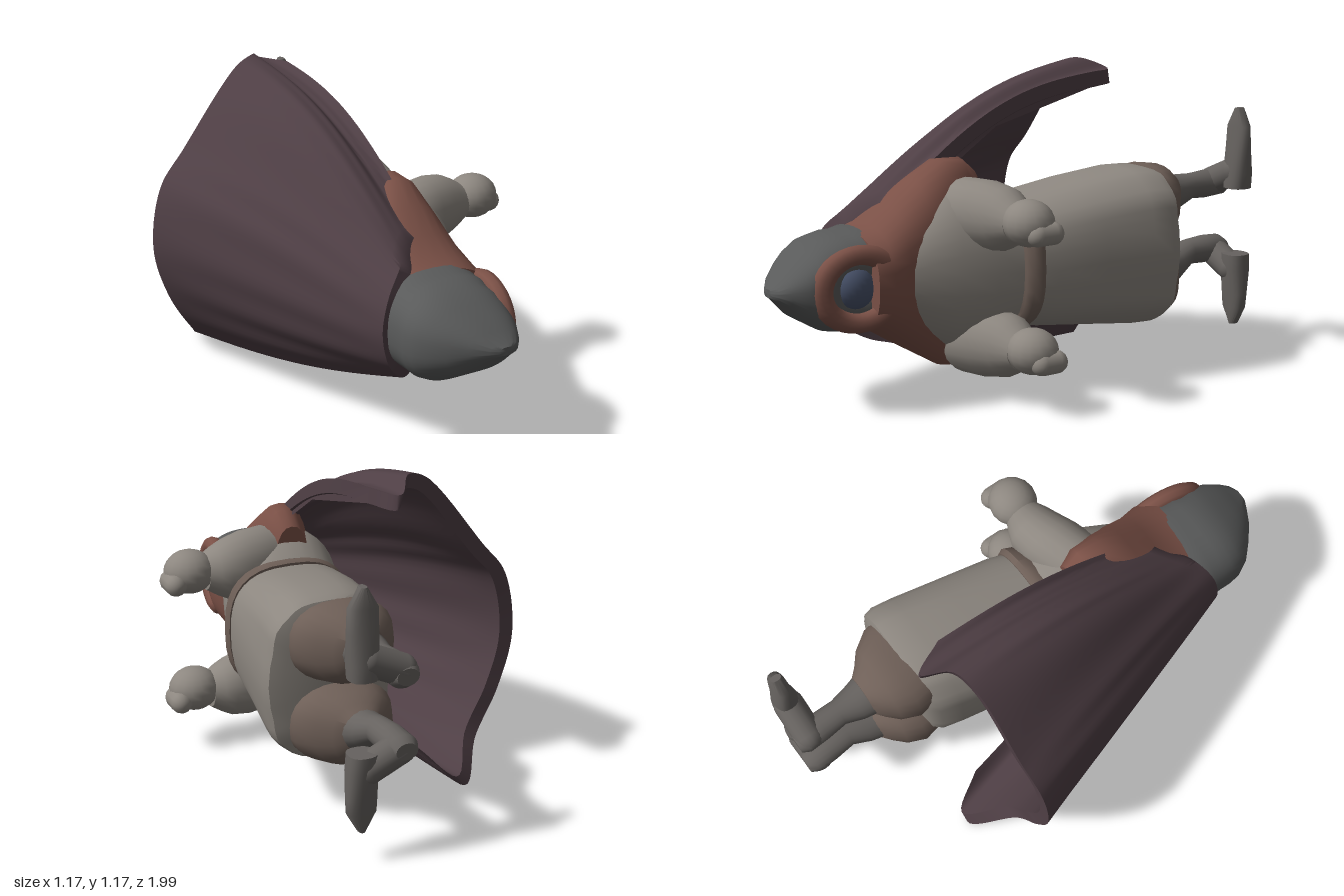
import * as THREE from 'three';
import { toCreasedNormals } from 'three/addons/utils/BufferGeometryUtils.js';

const V = (x, y, z) => new THREE.Vector3(x, y, z);
const mats = {};
const mat = (color) => (mats[color] ??= new THREE.MeshStandardMaterial({ color }));
const CAPE = 0x4f3f45, HOOD = 0x595a5a, RUST = 0x7a5046, ROBE = 0x8d8780, BELT = 0x6e5f57,
  BOOT = 0x66625f, FACE = 0x48526a;

// Closed skin over a list of equal-length point rings, capped at both ends
function skin(rings) {
  const n = rings[0].length, pos = [], idx = [];
  rings.forEach((r) => r.forEach((p) => pos.push(p.x, p.y, p.z)));
  for (let i = 0; i < rings.length - 1; i++) {
    for (let j = 0; j < n; j++) {
      const a = i * n + j, b = i * n + (j + 1) % n;
      idx.push(a, b, b + n, a, b + n, a + n);
    }
  }
  [0, rings.length - 1].forEach((e) => {
    const c = V(0, 0, 0);
    rings[e].forEach((p) => c.addScaledVector(p, 1 / n));
    const ci = pos.length / 3;
    pos.push(c.x, c.y, c.z);
    for (let j = 0; j < n; j++) {
      const a = e * n + j, b = e * n + (j + 1) % n;
      if (e) idx.push(ci, a, b); else idx.push(ci, b, a);
    }
  });
  const g = new THREE.BufferGeometry();
  g.setAttribute('position', new THREE.Float32BufferAttribute(pos, 3));
  g.setIndex(idx);
  return toCreasedNormals(g, 0.85);
}

// Rounded cross-sections stacked along z: [z, xMin, xMax, yMin, yMax], z ascending
function loft(stations, { power = 1, seg = 32, rule } = {}) {
  const round = (v) => Math.sign(v) * Math.abs(v) ** power;
  return skin(stations.map(([z, x0, x1, y0, y1]) =>
    Array.from({ length: seg }, (_, j) => {
      const t = (j / seg) * Math.PI * 2;
      const p = V((x0 + x1) / 2 + round(Math.cos(t)) * (x1 - x0) / 2,
        (y0 + y1) / 2 + round(Math.sin(t)) * (y1 - y0) / 2, z);
      if (rule) rule(p, t);
      return p;
    })));
}

export function createModel() {
  const model = new THREE.Group();
  const add = (name, geometry, color, parent = model) => {
    const m = new THREE.Mesh(geometry, mat(color));
    m.name = name;
    parent.add(m);
    return m;
  };

  // Flared robe, belt and chest, deep enough at the back to meet the cape
  add('robeSkirt', loft([
    [-0.53, 0.03, 0.38, 0.25, 0.75], [-0.515, -0.01, 0.43, 0.21, 0.79], [-0.48, -0.04, 0.44, 0.2, 0.8],
    [-0.4, -0.06, 0.43, 0.2, 0.8], [-0.2, -0.1, 0.4, 0.22, 0.77], [0, -0.13, 0.37, 0.24, 0.73],
    [0.1, -0.14, 0.34, 0.26, 0.71],
  ], { power: 0.72, seg: 40, rule: (p, t) => { p.x += 0.008 * Math.cos(10 * t) * (0.1 - p.z); } }), ROBE);
  add('belt', loft([
    [0.05, -0.13, 0.36, 0.25, 0.73], [0.07, -0.14, 0.37, 0.24, 0.74], [0.1, -0.14, 0.36, 0.24, 0.73],
    [0.12, -0.13, 0.34, 0.25, 0.72],
  ], { power: 0.75 }), BELT);
  add('chest', loft([
    [0.1, -0.14, 0.33, 0.24, 0.73], [0.22, -0.16, 0.31, 0.18, 0.8], [0.34, -0.16, 0.27, 0.19, 0.79],
    [0.46, -0.14, 0.23, 0.26, 0.7], [0.56, -0.12, 0.19, 0.33, 0.62],
  ], { power: 0.85 }), ROBE);

  // Shoulder mantle
  add('mantle', loft([
    [0.17, -0.03, 0.14, 0.15, 0.83], [0.23, -0.05, 0.17, 0.1, 0.88], [0.32, -0.09, 0.18, 0.11, 0.88],
    [0.42, -0.14, 0.2, 0.17, 0.81], [0.52, -0.18, 0.21, 0.23, 0.73], [0.6, -0.2, 0.23, 0.28, 0.67],
    [0.66, -0.2, 0.22, 0.3, 0.65],
  ], { power: 0.8 }), RUST);

  // Pointed hood with a hollow for the face
  add('hood', loft([
    [0.58, -0.19, 0.19, 0.31, 0.65], [0.64, -0.22, 0.2, 0.3, 0.66], [0.68, -0.22, 0.2, 0.3, 0.65],
    [0.72, -0.22, 0.2, 0.3, 0.65], [0.76, -0.22, 0.19, 0.3, 0.64], [0.8, -0.215, 0.19, 0.31, 0.63],
    [0.85, -0.19, 0.18, 0.34, 0.6], [0.9, -0.14, 0.16, 0.37, 0.57], [0.95, -0.08, 0.13, 0.42, 0.53],
    [0.985, -0.02, 0.1, 0.45, 0.5], [1, 0.01, 0.07, 0.46, 0.49],
  ], {
    power: 0.8, seg: 48,
    rule: (p) => {
      if (p.x > 0) p.x -= 0.06 * Math.exp(-(((p.y - 0.47) ** 2 + (p.z - 0.71) ** 2) / 0.009));
    },
  }), HOOD);
  const rim = add('hoodRim', new THREE.TorusGeometry(0.122, 0.036, 10, 32), RUST);
  rim.rotation.y = Math.PI / 2 - 0.12;
  rim.scale.x = 1.15;
  rim.position.set(0.165, 0.475, 0.71);
  const face = add('face', new THREE.SphereGeometry(0.085, 24, 16), FACE);
  face.scale.set(0.8, 1, 1);
  face.position.set(0.12, 0.475, 0.71);

  // Sleeves reaching forward, ending in fists
  [['left', 0.69, 0.7, 0.2], ['right', 0.22, 0.235, 0.18]].forEach(([side, yArm, yFist, z]) => {
    const arm = new THREE.Group();
    arm.name = side + 'Arm';
    model.add(arm);
    const ring = (x, dz, ry, rz) => [x, -z - rz + dz, -z + rz + dz, yArm - ry, yArm + ry];
    add('sleeve', loft([
      ring(0.06, -0.06, 0.11, 0.09), ring(0.14, -0.05, 0.13, 0.12), ring(0.24, -0.02, 0.13, 0.12),
      ring(0.32, 0, 0.115, 0.105), ring(0.36, 0, 0.095, 0.09), ring(0.4, 0, 0.07, 0.07),
    ], { seg: 20 }).rotateY(Math.PI / 2), ROBE, arm);
    const fist = add('fist', new THREE.SphereGeometry(0.088, 16, 12), ROBE, arm);
    fist.scale.set(1.1, 0.95, 1.05);
    fist.position.set(0.46, yFist, z);
    const knuckles = add('knuckles', new THREE.CapsuleGeometry(0.042, 0.06, 6, 12), ROBE, arm);
    knuckles.rotation.x = Math.PI / 2;
    knuckles.position.set(0.53, yFist - 0.03, z - 0.02);
  });

  // Legs with baggy trousers, and feet that step forward then turn outward
  [['left', 1], ['right', -1]].forEach(([side, s]) => {
    const leg = new THREE.Group();
    leg.name = side + 'Leg';
    model.add(leg);
    const mid = s > 0 ? 0.65 : 0.345;
    const ankle = s > 0 ? 0.675 : 0.41;
    const ring = (z, x0, x1, y, r) => [z, x0, x1, y - r, y + r];
    add('trouser', loft([
      ring(-0.69, 0.08, 0.23, mid + 0.01, 0.08), ring(-0.66, 0.05, 0.26, mid, 0.11),
      ring(-0.62, 0.01, 0.31, mid, 0.135), ring(-0.55, -0.02, 0.36, mid, 0.145),
      ring(-0.45, 0, 0.38, mid, 0.13),
    ], { power: 0.85, seg: 24 }), BELT, leg);
    add('shin', loft([
      ring(-0.99, 0.1, 0.18, ankle, 0.03), ring(-0.96, 0.085, 0.2, ankle, 0.05),
      ring(-0.88, 0.09, 0.2, ankle, 0.055), ring(-0.8, 0.1, 0.2, ankle, 0.05),
      ring(-0.73, 0.08, 0.22, (ankle + mid) / 2, 0.065), ring(-0.64, 0.07, 0.25, mid, 0.09),
    ], { seg: 18 }), BOOT, leg);
    const heel = add('heel', new THREE.CapsuleGeometry(0.056, 0.13, 8, 16), BOOT, leg);
    heel.rotation.z = s > 0 ? -1.15 : -2;
    heel.position.set(0.2, ankle + 0.035 * s, -0.935);
    const end = s > 0 ? 0.315 : 0.285;
    const toe = add('toe', loft([
      [0, -0.05, 0.05, -0.05, 0.05], [0.06, -0.055, 0.055, -0.05, 0.05], [0.16, -0.055, 0.055, -0.036, 0.036],
      [end - 0.07, -0.053, 0.053, -0.03, 0.03], [end, -0.012, 0.012, -0.02, 0.02],
    ], { power: 0.8, seg: 18 }).rotateX(-s * Math.PI / 2), BOOT, leg);
    toe.position.set(0.28, ankle, -0.935);
  });

  // Spread cape: a thick pleated sheet from the neck to a wide curved hem
  const hem = new THREE.CatmullRomCurve3([
    V(0.015, 1.14, -0.42), V(-0.05, 1.14, -0.54), V(-0.12, 1.18, -0.45), V(-0.21, 1.15, -0.42),
    V(-0.45, 0.87, -0.4), V(-0.555, 0.74, -0.39), V(-0.595, 0.5, -0.39), V(-0.535, 0.29, -0.4),
    V(-0.43, 0.12, -0.43), V(-0.31, 0.01, -0.58), V(-0.22, 0.08, -0.45)]);
  const neck = new THREE.CatmullRomCurve3([
    V(0.03, 0.73, 0.5), V(-0.02, 0.73, 0.52), V(-0.08, 0.72, 0.56), V(-0.14, 0.68, 0.62),
    V(-0.21, 0.6, 0.66), V(-0.24, 0.48, 0.67), V(-0.21, 0.35, 0.66), V(-0.13, 0.26, 0.61),
    V(-0.06, 0.22, 0.55), V(0.01, 0.21, 0.49)]);
  const NU = 72, NV = 22, rings = [];
  for (let i = 0; i <= NU; i++) {
    const u = i / NU, a = neck.getPoint(u), b = hem.getPoint(u), outer = [], inner = [];
    for (let j = 0; j <= NV; j++) {
      const v = j / NV, p = a.clone().lerp(b, v);
      const out = V(p.x - 0.1, p.y - 0.5, 0).normalize();
      p.y += Math.sin(Math.PI * v) * (out.y > 0 ? 0.1 : 0.05) * out.y;
      p.addScaledVector(out, 0.004 * v * (1 - v) * 4 * Math.cos(u * Math.PI * 24));
      outer.push(p);
      inner.unshift(p.clone().addScaledVector(out, -0.055));
    }
    rings.push([...outer, ...inner]);
  }
  add('cape', skin(rings), CAPE);

  return model;
}
